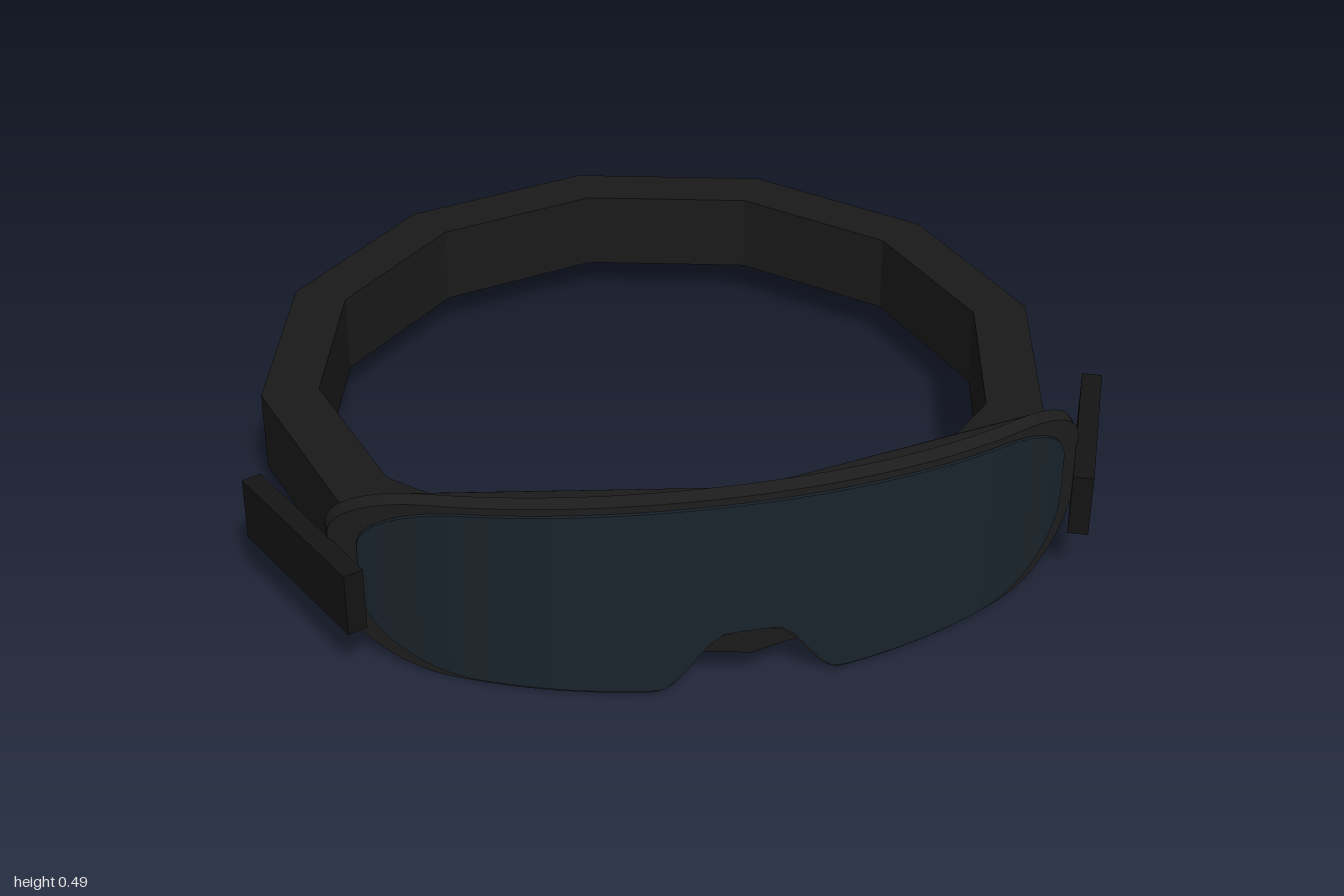
import * as THREE from 'three';
import { toCreasedNormals } from 'three/addons/utils/BufferGeometryUtils.js';

const mat = (color, extra = {}) => new THREE.MeshStandardMaterial({ color, ...extra });
const SEG = 80;

// plan curve of the visor: a circular arc bulging to the front
const bend = (x) => 0.922 - (1.22 - Math.sqrt(1.22 * 1.22 - x * x));

// rounding at the visor's ends: 0 in the middle, 1 at half-width w
const corner = (x, w, r) => {
  const t = THREE.MathUtils.clamp((Math.abs(x) - (w - r)) / r, 0, 1);
  return 1 - Math.sqrt(1 - t * t);
};
const topY = (x, o) => 0.49 - o.top - 0.125 * x * x - 0.11 * corner(x, o.w, 0.2);
const bottomY = (x, o) =>
  0.005 + o.bottom + 0.17 * corner(x, o.w, 0.23) +
  0.14 * (1 - THREE.MathUtils.smoothstep(Math.abs(x), 0.05, 0.2)); // nose notch

const columns = (w) =>
  Array.from({ length: SEG + 1 }, (_, i) => w * Math.sin((i / SEG - 0.5) * Math.PI));

// closed outline, clockwise from the front
function outline(o) {
  const xs = columns(o.w);
  return [
    ...xs.map((x) => [x, topY(x, o)]),
    ...xs.reverse().map((x) => [x, bottomY(x, o)]),
  ];
}

// skin over a list of closed cross-sections
function loft(sections, closed) {
  const n = sections.length, m = sections[0].length, pos = [];
  for (let i = 0; i < (closed ? n : n - 1); i++) {
    const a = sections[i], b = sections[(i + 1) % n];
    for (let j = 0; j < m; j++) {
      const k = (j + 1) % m;
      pos.push(...a[j], ...b[j], ...b[k], ...a[j], ...b[k], ...a[k]);
    }
  }
  const g = new THREE.BufferGeometry();
  g.setAttribute('position', new THREE.Float32BufferAttribute(pos, 3));
  return toCreasedNormals(g, 0.6);
}

export function createModel() {
  const model = new THREE.Group();
  const add = (name, geometry, material) => {
    const mesh = new THREE.Mesh(geometry, material);
    mesh.name = name;
    model.add(mesh);
    return mesh;
  };

  // twelve-sided head strap
  const profile = [[0.795, 0.29], [0.795, 0.095], [0.928, 0.095], [0.928, 0.29], [0.795, 0.29]];
  add('headStrap',
    new THREE.LatheGeometry(profile.map((p) => new THREE.Vector2(...p)), 12),
    mat(0x1a1a1a, { flatShading: true }));

  // visor frame: curved rim around the lens
  const rim = { w: 0.84, top: 0, bottom: 0 };
  const hole = outline({ w: 0.765, top: 0.05, bottom: 0.04 });
  const front = -0.002, back = -0.045;
  const at = ([x, y], dz) => [x, y, bend(x) + dz];
  add('visorFrame',
    loft(outline(rim).map((p, i) =>
      [at(p, front), at(p, back), at(hole[i], back), at(hole[i], front)]), true),
    mat(0x1e1e1e, { side: THREE.DoubleSide }));

  // tinted lens
  const glass = { w: 0.785, top: 0.015, bottom: 0.01 };
  add('lens',
    loft(columns(glass.w).map((x) => {
      const t = [x, topY(x, glass)], b = [x, bottomY(x, glass)];
      return [at(t, 0.008), at(t, 0), at(b, 0), at(b, 0.008)];
    }), false),
    mat(0x1a242c, { side: THREE.DoubleSide }));

  // flat brow webs behind the top edge, and side arms
  for (const [side, label] of [[1, 'left'], [-1, 'right']]) {
    const pts = Array.from({ length: 21 }, (_, i) => {
      const x = side * (0.07 + 0.71 * i / 20);
      return at([x, topY(x, rim) - 0.001], back);
    });
    const pos = [];
    for (let i = 1; i < 20; i++) {
      const [p, q] = side > 0 ? [pts[i], pts[i + 1]] : [pts[i + 1], pts[i]];
      pos.push(...pts[0], ...p, ...q);
    }
    const web = new THREE.BufferGeometry();
    web.setAttribute('position', new THREE.Float32BufferAttribute(pos, 3));
    web.computeVertexNormals();
    add(label + 'BrowWeb', web, mat(0x1e1e1e, { side: THREE.DoubleSide }));

    const arm = add(label + 'Arm', new THREE.BoxGeometry(0.046, 0.15, 0.44), mat(0x141414));
    arm.position.set(side * 0.889, 0.207, 0.521);
    arm.rotation.y = -side * 0.413;
  }
  return model;
}
